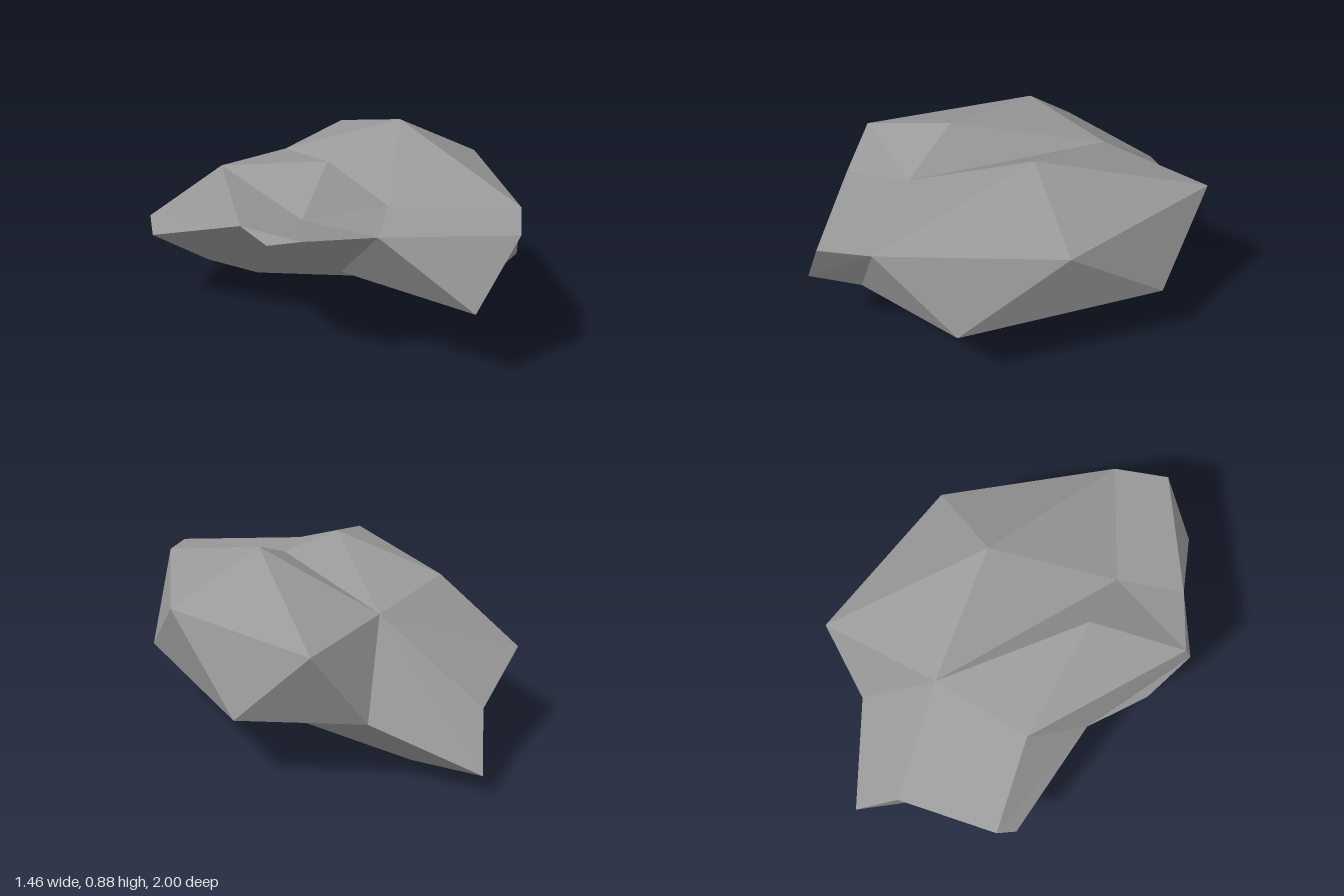
import * as THREE from 'three';

// Low-poly boulder: a squashed icosahedron with groups of faces pulled outward.
export function createModel() {
  const points = {};
  const faces = [];

  // Core icosahedron: top A, bottom I, upper ring u0..u4, lower ring l0..l4
  const ring = (prefix, i, y, offset) => {
    const a = ((i + offset) * Math.PI * 2) / 5;
    points[prefix + i] = [0.305 + 0.425 * Math.cos(a), y, 0.03 + 0.795 * Math.sin(a)];
  };
  points.A = [0.305, 0.88, 0.035];
  points.I = [0.305, 0.1, 0.035];
  for (let i = 0; i < 5; i++) {
    const n = (i + 1) % 5;
    ring('u', i, 0.665, 0);
    ring('l', i, 0.315, 0.5);
    faces.push(['A', 'u' + n, 'u' + i], ['u' + i, 'u' + n, 'l' + i]);
    faces.push(['u' + n, 'l' + n, 'l' + i], ['I', 'l' + i, 'l' + n]);
  }

  // Remove and return the face that has exactly these corners
  const take = (names) => {
    const key = names.split(' ').sort().join();
    const i = faces.findIndex((f) => [...f].sort().join() === key);
    return faces.splice(i, 1)[0];
  };

  // Pull a group of faces to new corner positions and wall in their border;
  // new corners carry the tag, flip picks the other diagonal of the walls
  const pull = (tag, region, moved, flip = false) => {
    for (const name in moved) points[name + tag] = moved[name];
    const old = region.map(take);
    const edges = new Set(old.flatMap((f) => f.map((a, i) => a + ' ' + f[(i + 1) % f.length])));
    for (const f of old) faces.push(f.map((n) => n + tag));
    for (const edge of edges) {
      const [a, b] = edge.split(' ');
      if (edges.has(b + ' ' + a)) continue;
      faces.push(flip ? [b, b + tag, a + tag, a] : [a, b, b + tag, a + tag]);
    }
  };

  // Front spur
  pull('f', ['u1 u2 l1', 'u2 l2 l1'], {
    u1: [0.285, 0.635, 0.985], l1: [0.065, 0.34, 0.998],
    u2: [-0.235, 0.64, 0.73], l2: [-0.18, 0.34, 0.34],
  }, true);

  // Rear spur, reaching down to the ground
  pull('r', ['u3 l3 l2', 'I l2 l3'], {
    u3: [-0.33, 0.318, -0.82], l3: [-0.22, 0.11, -1],
    l2: [-0.39, 0.11, -0.59], I: [-0.14, 0, -0.56],
  });

  // Side shelf joining both spurs
  pull('s', ['u2 l2 l2f u2f', 'u3 l2 u2', 'l2 u3 u3r l2r'], {
    u2: [-0.49, 0.71, 0.565], u2f: [-0.505, 0.627, 0.59],
    l2f: [-0.543, 0.535, 0.35], l2: [-0.52, 0.52, 0.05],
    u3: [-0.47, 0.71, -0.23], u3r: [-0.707, 0.42, -0.525],
    l2r: [-0.733, 0.355, -0.44],
  });

  // Second peak, raised from the top of the shelf
  points.W = [-0.195, 0.82, 0.25];
  const shelf = take('u2 u3 u3s u2s');
  shelf.forEach((a, i) => faces.push(['W', a, shelf[(i + 1) % 4]]));

  // Split every face into triangles with flat shading
  const position = [];
  for (const f of faces) {
    for (let i = 1; i + 1 < f.length; i++) {
      position.push(...points[f[0]], ...points[f[i]], ...points[f[i + 1]]);
    }
  }
  const geometry = new THREE.BufferGeometry();
  geometry.setAttribute('position', new THREE.Float32BufferAttribute(position, 3));
  geometry.computeVertexNormals();
  const rock = new THREE.Mesh(
    geometry,
    new THREE.MeshStandardMaterial({ color: 0x999999, flatShading: true })
  );
  rock.name = 'rock';
  const group = new THREE.Group();
  group.name = 'boulder';
  group.add(rock);
  return group;
}
